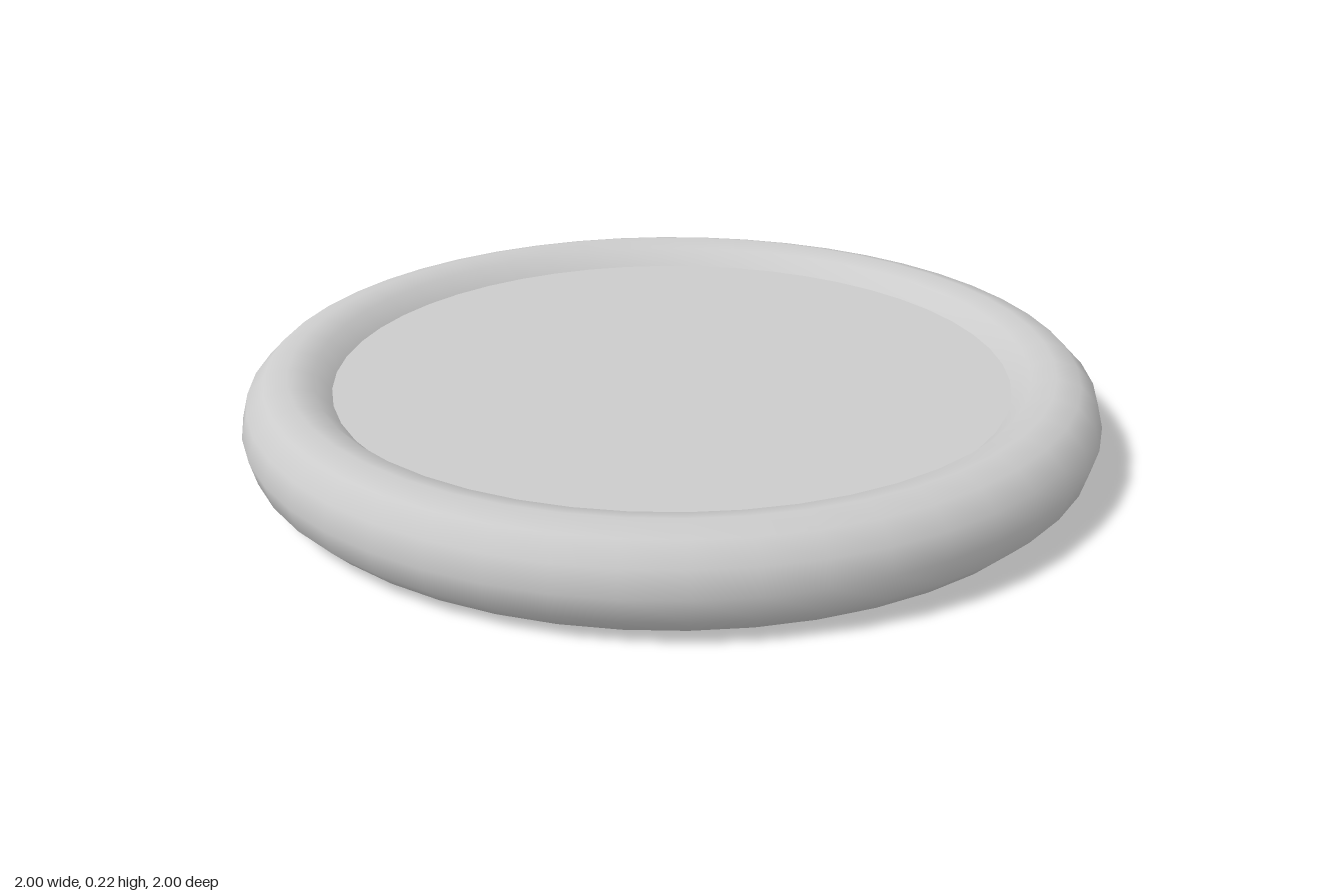
import * as THREE from 'three';

const SEGMENTS = 48;
const RING = 0.89; // radius to the middle of the rim
const TUBE = 0.11; // radius of the rim's round section

export function createModel() {
  const group = new THREE.Group();
  group.name = 'roundTray';
  const material = new THREE.MeshStandardMaterial({ color: 0xcccccc });

  // Flat underside running into the rounded rim, ending at the inner lip
  const profile = [new THREE.Vector2(0, 0)];
  for (let i = 0; i <= 8; i++) {
    const a = -Math.PI / 2 + (i * Math.PI) / 6;
    profile.push(new THREE.Vector2(RING + TUBE * Math.cos(a), TUBE + TUBE * Math.sin(a)));
  }
  const rim = new THREE.Mesh(new THREE.LatheGeometry(profile, SEGMENTS), material);
  rim.name = 'rimAndBase';
  group.add(rim);

  // Recessed flat floor meeting the inner lip
  const lip = profile[profile.length - 1];
  const floorGeometry = new THREE.CircleGeometry(lip.x, SEGMENTS);
  floorGeometry.rotateX(-Math.PI / 2);
  const floor = new THREE.Mesh(floorGeometry, material);
  floor.name = 'floor';
  floor.position.y = lip.y;
  group.add(floor);

  return group;
}
